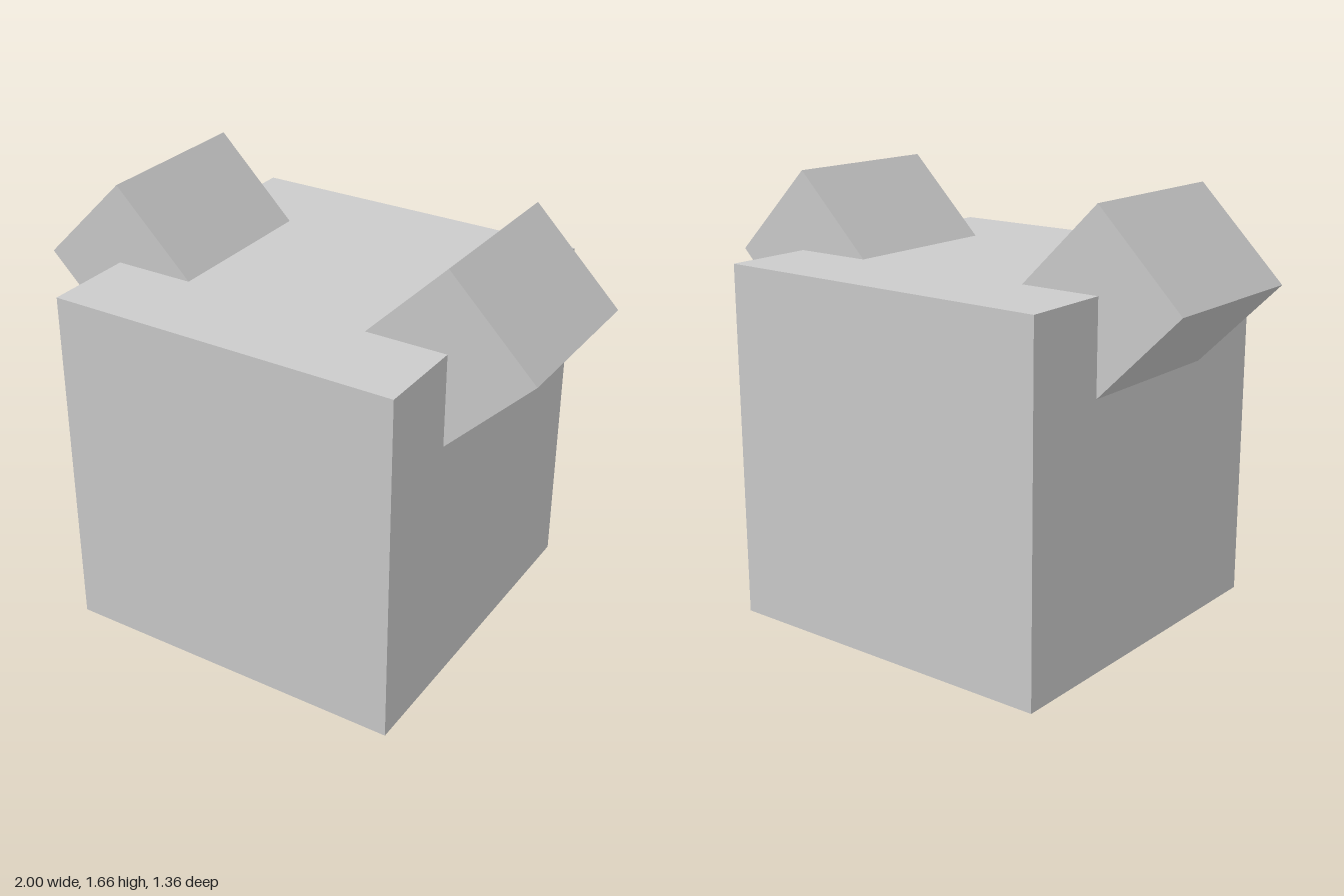
import * as THREE from 'three';

export function createModel() {
  const model = new THREE.Group();
  const material = new THREE.MeshStandardMaterial({ color: 0xcccccc, flatShading: true });

  function addBox(name, width, height, depth, x, y) {
    const mesh = new THREE.Mesh(new THREE.BoxGeometry(width, height, depth), material);
    mesh.name = name;
    mesh.position.set(x, y, 0);
    model.add(mesh);
    return mesh;
  }

  // Main cube standing on the ground
  const size = 1.356;
  addBox('body', size, size + 0.004, size, 0, (size + 0.004) / 2);

  // Blocks turned 45 degrees, set into the upper side edges
  const halfDiagonal = 0.331;
  const side = halfDiagonal * Math.SQRT2;
  for (const [name, sign] of [['leftEar', 1], ['rightEar', -1]]) {
    const ear = addBox(name, side, side, 0.656, sign * (1 - halfDiagonal), 1.332);
    ear.rotation.z = sign * Math.PI / 4;
  }

  return model;
}
